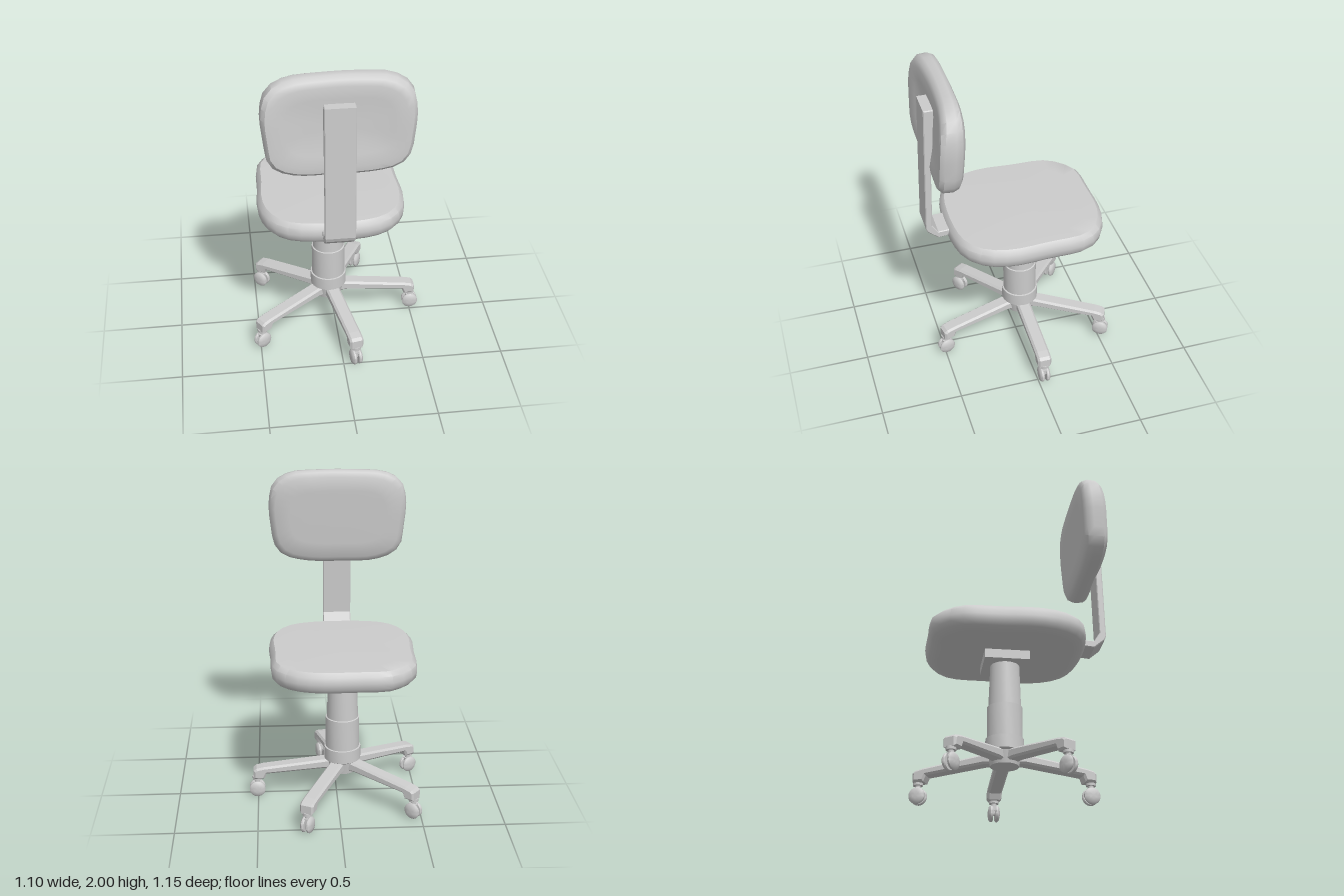
import * as THREE from 'three';
import { toCreasedNormals } from 'three/addons/utils/BufferGeometryUtils.js';

const material = new THREE.MeshStandardMaterial({ color: 0xcccccc });
const CX = -0.035, CZ = -0.037; // axis of the column

function add(parent, name, geometry, x = 0, y = 0, z = 0) {
  const mesh = new THREE.Mesh(geometry, material);
  mesh.name = name;
  mesh.position.set(x, y, z);
  parent.add(mesh);
  return mesh;
}

// Cushion skin: an outline repeated in rings [inset, depth]; an inset of 1 closes to a point
function cushion(outline, rings, place, segments = 40) {
  const curve = new THREE.CatmullRomCurve3(outline.map(([a, b]) => new THREE.Vector3(a, b, 0)), true);
  const pts = curve.getSpacedPoints(segments).slice(0, segments);
  const box = new THREE.Box3().setFromPoints(pts);
  const c = box.getCenter(new THREE.Vector3());
  const h = box.getSize(new THREE.Vector3()).multiplyScalar(0.5);
  const positions = [], index = [];
  rings.forEach(([inset, depth]) => {
    const sa = inset === 1 ? 0 : 1 - inset / h.x;
    const sb = inset === 1 ? 0 : 1 - inset / h.y;
    for (const p of pts) {
      const a = c.x + (p.x - c.x) * sa, b = c.y + (p.y - c.y) * sb;
      positions.push(...place(a, b, depth));
    }
  });
  for (let i = 0; i < rings.length - 1; i++) {
    for (let j = 0; j < segments; j++) {
      const k = (j + 1) % segments;
      const a = i * segments + j, b = i * segments + k;
      const d = a + segments, e = b + segments;
      if (rings[i][0] !== 1) index.push(a, b, d);
      if (rings[i + 1][0] !== 1) index.push(b, e, d);
    }
  }
  const g = new THREE.BufferGeometry();
  g.setAttribute('position', new THREE.Float32BufferAttribute(positions, 3));
  g.setIndex(index);
  return toCreasedNormals(g, 0.7);
}

// Side profile extruded to a centred width
function slab(profile, width, bevel) {
  const shape = new THREE.Shape(profile.map(([x, y]) => new THREE.Vector2(x, y)));
  const g = new THREE.ExtrudeGeometry(shape, {
    depth: width - 2 * bevel, bevelEnabled: true, bevelThickness: bevel,
    bevelSize: bevel, bevelOffset: -bevel, bevelSegments: 1,
  });
  return g.translate(0, 0, -width / 2 + bevel);
}

function lathe(profile, segments) {
  const g = new THREE.LatheGeometry(profile.map(([r, y]) => new THREE.Vector2(r, y)), segments);
  return toCreasedNormals(g, 0.6);
}

// Twin wheel caster, axle along z, standing on y = 0
function makeCaster() {
  const caster = new THREE.Group();
  caster.name = 'caster';
  add(caster, 'casterStem', new THREE.CylinderGeometry(0.016, 0.016, 0.09, 12), 0, 0.095, 0);
  add(caster, 'casterCollar', new THREE.CylinderGeometry(0.03, 0.03, 0.02, 12), 0, 0.125, 0);
  add(caster, 'casterHood', new THREE.BoxGeometry(0.05, 0.03, 0.03), 0, 0.083, 0);
  add(caster, 'casterAxle', new THREE.CylinderGeometry(0.012, 0.012, 0.05, 10).rotateX(Math.PI / 2), 0, 0.052, 0);
  for (const side of [-1, 1]) {
    const g = lathe([[0, 0.007], [0.046, 0.007], [0.051, 0.013], [0.051, 0.022], [0.042, 0.031], [0.02, 0.036], [0, 0.036]], 18);
    g.rotateX(side * Math.PI / 2);
    add(caster, 'casterWheel', g, 0, 0.052, 0);
  }
  return caster;
}

export function createModel() {
  const chair = new THREE.Group();
  chair.name = 'swivelChair';

  // Seat cushion
  const seatOutline = [
    [-0.3, -0.5], [-0.39, -0.435], [-0.455, -0.34], [-0.47, -0.1], [-0.48, 0.13], [-0.44, 0.28],
    [-0.36, 0.38], [-0.22, 0.43], [0.15, 0.43], [0.29, 0.38], [0.375, 0.28], [0.413, 0.13],
    [0.405, -0.1], [0.395, -0.33], [0.35, -0.41], [0.26, -0.475], [0.13, -0.51], [-0.1, -0.51],
  ];
  add(chair, 'seat', cushion(seatOutline,
    [[1, 0.872], [0.07, 0.872], [0.025, 0.885], [0.005, 0.91], [0, 0.945], [0.006, 0.985], [0.03, 1.01], [0.12, 1.014], [1, 1.012]],
    (x, z, y) => [x, y, z]));

  // Backrest cushion, leaning slightly, with a dished outer face
  const backOutline = [
    [-0.34, 1.975], [-0.43, 1.915], [-0.462, 1.8], [-0.45, 1.62], [-0.43, 1.5], [-0.375, 1.445],
    [-0.26, 1.407], [-0.05, 1.402], [0.16, 1.407], [0.31, 1.445], [0.367, 1.51], [0.39, 1.63],
    [0.4, 1.8], [0.37, 1.915], [0.27, 1.98], [0.13, 1.995], [-0.1, 1.997],
  ];
  add(chair, 'backrest', cushion(backOutline,
    [[1, 0.394], [0.13, 0.39], [0.04, 0.393], [0.012, 0.41], [0, 0.44], [0.004, 0.49], [0.025, 0.513], [0.06, 0.518], [0.13, 0.51], [0.2, 0.5], [1, 0.5]],
    (x, y, z) => {
      const t = (y - 1.7) / 0.3, u = (x + 0.03) / 0.43;
      const outer = THREE.MathUtils.clamp((z - 0.4) / 0.1, 0, 1);
      return [x, y, z - 0.016 * t - 0.02 * outer * Math.max(t, 0) ** 2 + 0.026 * outer * u * u];
    }));

  // Bent bar joining seat and backrest
  const barProfile = [
    [0.4, 0.94], [0.45, 0.935], [0.5, 0.93], [0.565, 0.985], [0.575, 1.01], [0.565, 1.4], [0.552, 1.84],
    [0.49, 1.84], [0.495, 1.7], [0.525, 1.4], [0.535, 1.03], [0.5, 0.975], [0.4, 0.98],
  ];
  add(chair, 'backBar', slab(barProfile, 0.178, 0.005).rotateY(-Math.PI / 2), -0.031, 0, 0);

  // Mounting plate, column and hub
  add(chair, 'seatPlate', new THREE.BoxGeometry(0.27, 0.055, 0.27), CX, 0.834, CZ);
  add(chair, 'column', lathe([
    [0, 0.175], [0.085, 0.175], [0.1, 0.25], [0.114, 0.26], [0.114, 0.34], [0.105, 0.342],
    [0.105, 0.54], [0.098, 0.543], [0.088, 0.81], [0, 0.81],
  ], 24), CX, 0, CZ);

  // Five arms, each ending in a caster
  const armProfile = [
    [0.04, 0.19], [0.12, 0.195], [0.48, 0.165], [0.495, 0.13], [0.563, 0.13], [0.563, 0.185],
    [0.545, 0.2], [0.5, 0.21], [0.12, 0.255], [0.04, 0.265],
  ];
  [0, 78, 147, 219.5, 296].forEach((degrees) => {
    const leg = new THREE.Group();
    leg.name = 'leg';
    add(leg, 'arm', slab(armProfile, 0.088, 0.012));
    const caster = makeCaster();
    caster.position.x = 0.54;
    leg.add(caster);
    leg.position.set(CX, 0, CZ);
    leg.rotation.y = -THREE.MathUtils.degToRad(degrees);
    chair.add(leg);
  });

  return chair;
}
